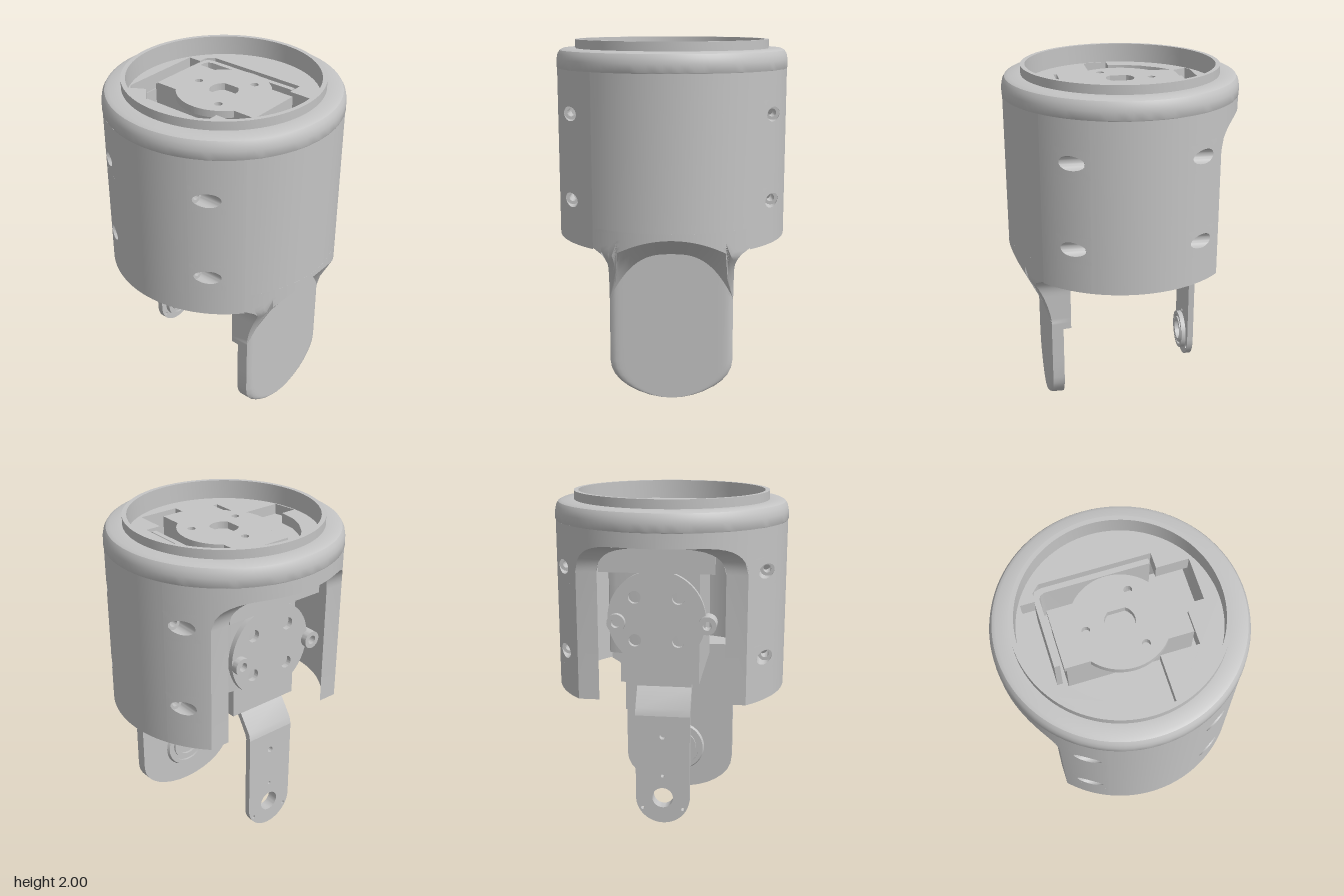
import * as THREE from 'three';
import { toCreasedNormals } from 'three/addons/utils/BufferGeometryUtils.js';

const R = 0.661, RI = 0.585, CUT = -0.47, BOT = 0.88, SEAM = 1.84;
const HOLE_Z = 0.557, HOLE_Y = [1.125, 1.605], BORE = 0.04, DRILL = 0.022;
const LEG = 0.345, FLARE = 0.43, LEG_TOP = 1.0, AXLE_Y = 0.285;
const { lerp, clamp } = THREE.MathUtils;

export function createModel() {
  const model = new THREE.Group();
  const grey = new THREE.MeshStandardMaterial({ color: 0xc4c4c4, side: THREE.DoubleSide });
  grey.name = 'grey';

  const add = (name, geo, parent = model) => {
    const m = new THREE.Mesh(toCreasedNormals(geo, 0.55), grey);
    m.name = name;
    parent.add(m);
  };
  const group = (name) => {
    const g = new THREE.Group();
    g.name = name;
    model.add(g);
    return g;
  };
  // Surface patch from f(u, v) -> [x, y, z]
  const grid = (nu, nv, f) => {
    const pos = [], idx = [];
    for (let j = 0; j <= nv; j++) for (let i = 0; i <= nu; i++) pos.push(...f(i / nu, j / nv));
    for (let j = 0; j < nv; j++) for (let i = 0; i < nu; i++) {
      const a = j * (nu + 1) + i, b = a + nu + 1;
      idx.push(a, a + 1, b, b, a + 1, b + 1);
    }
    const g = new THREE.BufferGeometry();
    g.setAttribute('position', new THREE.Float32BufferAttribute(pos, 3));
    g.setIndex(idx);
    g.computeVertexNormals();
    return g;
  };
  const onWall = (r, t, y, side) => [r * Math.cos(t), y, side * r * Math.sin(t)];
  const polygon = (pts) => new THREE.Shape(pts.map(([x, y]) => new THREE.Vector2(x, y)));
  const circle = (x, y, r) => new THREE.Path().absarc(x, y, r, 0, Math.PI * 2, true);
  const extrude = (shape, depth) => new THREE.ExtrudeGeometry(shape, { depth, bevelEnabled: false, curveSegments: 32 });
  // Horizontal plate: shape is (x, z), measured down from its top
  const slab = (shape, top, depth) => extrude(shape, depth).rotateX(Math.PI / 2).translate(0, top, 0);
  // Upright plate facing x: shape is (-z, y)
  const sidePlate = (shape, x, depth) => extrude(shape, depth).rotateY(Math.PI / 2).translate(x, 0, 0);
  // Turned part along x: points are (radius, x)
  const turnX = (pts, y, z) => new THREE.LatheGeometry(pts.map(([a, b]) => new THREE.Vector2(a, b)), 40)
    .rotateZ(-Math.PI / 2).translate(0, y, z);
  const box = (x0, x1, y0, y1, z0, z1) => new THREE.BoxGeometry(x1 - x0, y1 - y0, z1 - z0)
    .translate((x0 + x1) / 2, (y0 + y1) / 2, (z0 + z1) / 2);

  // Side opening: straight up, then a rounded corner to the overhang
  const cutY = (x) => (x > -0.63 ? 1.6 + Math.sqrt(Math.max(0, 0.0256 - (x + 0.63) ** 2)) : 1.76);
  const chord = (r, x) => Math.sqrt(Math.max(0, r * r - x * x));

  // Cylindrical wall with cross-drilled holes
  const shell = group('bodyShell');
  const wall = (name, r, hr) => {
    const a = Math.asin((HOLE_Z - hr) / r) - 0.04, b = Math.asin((HOLE_Z + hr) / r) + 0.04;
    const start = Math.asin(FLARE / r), end = Math.acos(CUT / r), pad = 0.08;
    const ts = [start, a, b, Math.PI - b, Math.PI - a, end];
    const ys = [BOT, ...HOLE_Y.flatMap((y) => [y - pad, y + pad]), SEAM];
    const plain = (t0, t1, y0, y1, side) => add(name,
      grid(16, 1, (u, v) => onWall(r, lerp(t0, t1, u), lerp(y0, y1, v), side)), shell);
    plain(-start, start, LEG_TOP, SEAM, 1);
    for (const side of [1, -1]) {
      for (let i = 0; i < 5; i++) {
        if (i % 2 === 0) { plain(ts[i], ts[i + 1], BOT, SEAM, side); continue; }
        for (let j = 0; j < 5; j++) {
          if (j % 2 === 0) { plain(ts[i], ts[i + 1], ys[j], ys[j + 1], side); continue; }
          const yc = HOLE_Y[(j - 1) / 2], mid = (ts[i] + ts[i + 1]) / 2, half = (ts[i + 1] - ts[i]) / 2;
          const dir = i === 1 ? 1 : -1;
          add(name, grid(32, 4, (u, v) => {
            const c = Math.cos(u * Math.PI * 2), s = Math.sin(u * Math.PI * 2), m = Math.max(Math.abs(c), Math.abs(s));
            const th = Math.asin((HOLE_Z + hr * c) / r);
            const t = lerp(i === 1 ? th : Math.PI - th, mid + dir * half * c / m, v);
            return onWall(r, t, lerp(yc + hr * s, yc + pad * s / m, v), side);
          }), shell);
        }
      }
      // Wall above the opening
      add(name, grid(24, 1, (u, v) => {
        const t = lerp(end, Math.PI, u);
        return onWall(r, t, lerp(cutY(r * Math.cos(t)), SEAM, v), side);
      }), shell);
    }
  };
  wall('outerWall', R, BORE);
  wall('innerWall', RI, DRILL);

  // Edges between the two walls, and stepped screw holes
  const edge = [[CUT, BOT], [CUT, 1.6]];
  for (let i = 1; i <= 10; i++) {
    const q = i * Math.PI / 20;
    edge.push([-0.63 + 0.16 * Math.cos(q), 1.6 + 0.16 * Math.sin(q)]);
  }
  edge.push([-R, 1.76]);
  for (const side of [1, -1]) {
    add('openingEdge', grid(edge.length - 1, 1, (u, v) => {
      const [x, y] = edge[Math.round(u * (edge.length - 1))];
      return [x, y, side * lerp(chord(RI, x), chord(R, x), v)];
    }), shell);
    add('bottomEdge', grid(48, 1, (u, v) => {
      const r = lerp(RI, R, v);
      return onWall(r, lerp(Math.asin(FLARE / r), Math.acos(CUT / r), u), BOT, side);
    }), shell);
    for (const sx of [1, -1]) for (const y of HOLE_Y) add('screwHole', grid(32, 3, (u, v) => {
      const k = Math.round(v * 3), hr = k < 2 ? BORE : DRILL, q = u * Math.PI * 2;
      const z = HOLE_Z + hr * Math.cos(q);
      const x = k === 0 ? chord(R, z) : k === 3 ? chord(RI, z) : 0.278;
      return [sx * x, y + hr * Math.sin(q), side * z];
    }), shell);
  }

  // Lid with a raised lip
  add('topRim', new THREE.LatheGeometry([
    [R, SEAM], [0.664, 1.846], [0.663, 1.89], [0.657, 1.92], [0.645, 1.94], [0.625, 1.95],
    [0.555, 1.95], [0.555, 2], [0.53, 2], [0.53, 1.88],
  ].map(([x, y]) => new THREE.Vector2(x, y)), 96));

  // Deck with the opening for the drive unit and a lower pocket in front
  const deck = new THREE.Shape().absarc(0, 0, RI, 0, Math.PI * 2);
  deck.holes.push(polygon([[-0.46, 0.25], [-0.44, 0.28], [-0.36, 0.235], [-0.28, 0.32], [-0.19, 0.385], [-0.1, 0.42], [0, 0.43],
    [0, 0.525], [0.14, 0.505], [0.14, 0.23], [0.35, 0.23], [0.35, 0.04], [0.39, 0], [0.45, 0], [0.45, -0.24], [0.27, -0.24],
    [0.27, -0.33], [-0.34, -0.33], [-0.38, -0.29], [-0.38, -0.24], [-0.46, -0.24]]));
  add('deck', slab(deck, 1.89, 0.1));
  add('pocketFloor', box(-0.36, 0.15, 1.8, 1.83, 0.23, 0.53));
  add('wellFloor', box(CUT, 0.46, 1.6, 1.62, -0.34, 0.25));
  add('wellWall', box(CUT, -0.455, 1.6, 1.8, -0.34, 0.29));

  // Tongue: wide leg whose flat outer face ends in a scoop framed by lips
  const halfWidth = (y) => {
    if (y < 0.22) return LEG * Math.sqrt(Math.max(0, 1 - ((0.22 - y) / 0.22) ** 2));
    const k = clamp((y - 0.77) / 0.11, 0, 1);
    return LEG + (FLARE - LEG) * (1 - Math.sqrt(1 - k * k));
  };
  const scoopTop = (s) => (s < 0.86 ? 0.965 - 0.085 * (s / 0.85) ** 2 : lerp(0.7, 0.58, (s - 0.9) / 0.1));
  const scoopFoot = (s) => Math.min(0.845 - 0.26 * s ** 2.8, scoopTop(s));
  const lipX = (y) => 0.475 + 0.89 * Math.max(0, y - 0.56) ** 1.8;
  const low = [];
  for (let i = 0; i <= 8; i++) low.push(0.22 * (1 - Math.cos(i * Math.PI / 16)));
  low.push(0.35, 0.5, 0.537, 0.54);
  const n = low.length, FOOT = n + 2, CREST = n + 5, LAST = n + 21;
  const rowY = (j, s) => {
    if (j < n) return low[j];
    if (j <= FOOT) return lerp(0.54, scoopFoot(s), (j - n + 1) / 3);
    if (j <= CREST) return lerp(scoopFoot(s), scoopTop(s), (j - FOOT) / 3);
    return lerp(scoopTop(s), LEG_TOP, Math.min(1, (j - CREST) / (LAST - 1 - CREST)));
  };
  const leg = group('tongueLeg');
  add('tongue', grid(43, LAST, (u, v) => {
    const i = Math.round(u * 43), j = Math.round(v * LAST);
    const s = i === 43 ? -1 : clamp((i - 21) / 20, -1, 1), a = Math.abs(s);
    const y = rowY(j, a), w = halfWidth(y), back = y < 0.539 ? 0.39 : LEG;
    const z = s * Math.min(w, LEG) + Math.sign(s) * Math.max(0, w - LEG) * clamp((a - 0.85) / 0.15, 0, 1);
    if (i === 0 || i >= 42 || j === LAST) return [back, y, z];
    const wallX = chord(R, z), round = 0.02 * a ** 20;
    const crestX = (h) => (a < 0.86 ? wallX : Math.min(wallX, lipX(h) - round));
    if (j <= FOOT) return [0.477 - round, y, z];
    if (j <= CREST) return [lerp(0.477 - round, crestX(scoopTop(a)), (j - FOOT) / 3), y, z];
    return [crestX(y), y, z];
  }), leg);
  add('tongueBearing', turnX([[0.165, 0.392], [0.155, 0.373], [0.13, 0.373], [0.13, 0.386], [0.11, 0.386], [0.11, 0.373],
    [0.08, 0.373], [0.08, 0.388], [0, 0.388]], AXLE_Y, 0), leg);

  // Thin arm opposite the tongue
  const arm = group('thinArm');
  const strap = new THREE.Shape();
  strap.moveTo(0.155, 0.78);
  strap.lineTo(-0.155, 0.78);
  strap.lineTo(-0.155, AXLE_Y);
  strap.absarc(0, AXLE_Y, 0.155, Math.PI, Math.PI * 2);
  strap.holes.push(circle(0, AXLE_Y, 0.06), circle(0, 0.66, 0.018));
  for (let i = 0; i < 3; i++) {
    const q = Math.PI / 2 + i * Math.PI * 2 / 3;
    strap.holes.push(circle(0.135 * Math.cos(q), AXLE_Y + 0.135 * Math.sin(q), 0.01));
  }
  add('armStrap', sidePlate(strap, -0.43, 0.035), arm);
  add('armBend', extrude(polygon([[-0.43, 0.78], [-0.395, 0.78], [-0.385, 0.81], [-0.335, 0.89], [-0.31, 0.92], [-0.31, 0.97],
    [-0.345, 0.97], [-0.345, 0.93], [-0.42, 0.82]]), 0.31).translate(0, 0, -0.155), arm);
  add('armBearing', turnX([[0.06, -0.43], [0.06, -0.365], [0.08, -0.365], [0.08, -0.38], [0.095, -0.38], [0.095, -0.368],
    [0.115, -0.368], [0.115, -0.395]], AXLE_Y, 0), arm);

  // Upper drive unit with a round-eared top plate
  const drive = group('driveUnit');
  add('driveBody', box(-0.33, 0.34, 1.42, 1.87, -0.165, 0.165), drive);
  const plate = new THREE.Shape(), ear = Math.asin(0.165 / 0.262);
  plate.moveTo(0.34, -0.165);
  plate.lineTo(0.34, 0.165);
  plate.absarc(0, 0, 0.262, ear, Math.PI - ear);
  plate.lineTo(-0.34, 0.165);
  plate.lineTo(-0.34, -0.165);
  plate.absarc(0, 0, 0.262, Math.PI + ear, Math.PI * 2 - ear);
  const flat = Math.asin(0.065 / 0.08);
  const socket = new THREE.Path().absarc(0, 0, 0.08, -flat, flat);
  socket.absarc(0, 0, 0.08, Math.PI - flat, Math.PI + flat);
  plate.holes.push(socket, circle(-0.18, 0, 0.022), circle(0.09, 0.155, 0.022), circle(0.09, -0.155, 0.022));
  add('topPlate', slab(plate, 1.91, 0.04), drive);

  // Lower drive unit and the plate seen in the side opening
  add('lowerDriveBody', box(-0.38, 0.28, 0.96, 1.6, -0.24, 0.2), drive);
  const disc = new THREE.Shape().absarc(0.03, 1.34, 0.27, 0, Math.PI * 2);
  for (let i = 0; i < 4; i++) {
    const q = Math.PI / 4 + i * Math.PI / 2;
    disc.holes.push(circle(0.03 + 0.17 * Math.cos(q), 1.34 + 0.17 * Math.sin(q), 0.035));
  }
  add('sideDisc', sidePlate(disc, -0.44, 0.03), drive);
  for (const z of [-0.25, 0.25]) {
    add('screwBoss', turnX([[0.025, -0.4], [0.025, -0.475], [0.05, -0.475], [0.05, -0.38]], 1.32, z), drive);
  }

  // Bent sheet bracket around the drive unit
  const bracket = polygon([[0.25, -0.31], [-0.33, -0.31], [-0.37, -0.3], [-0.385, -0.26], [-0.385, 0.13], [-0.355, 0.13],
    [-0.355, -0.25], [-0.345, -0.27], [-0.32, -0.28], [0.25, -0.28]]);
  add('bracket', slab(bracket, 1.88, 0.75), drive);
  return model;
}
